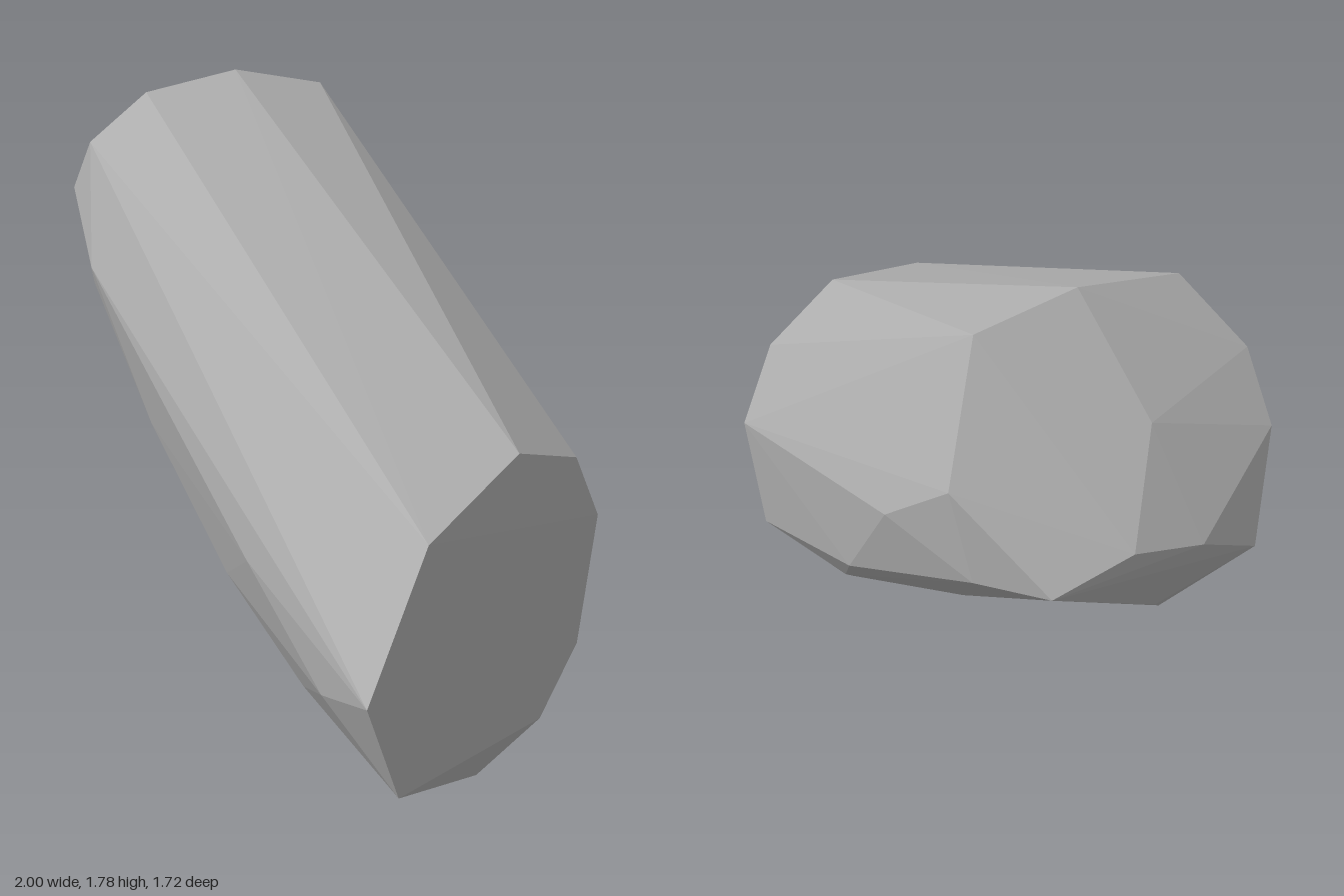
import * as THREE from 'three';
import { ConvexGeometry } from 'three/addons/geometries/ConvexGeometry.js';

// Corners around the lower, blunt end
const lowerEnd = [
  [1, 1.02, 0.25], [1, 0.9, 0.68], [0.94, 0.475, 0.86], [0.96, 0.16, 0.735],
  [0.87, 0.06, 0.56], [0.91, 0, 0.27], [0.96, 0.09, 0.01], [0.97, 0.27, -0.17],
  [0.995, 0.68, -0.21], [1, 0.91, -0.06],
];

// Corners around the raised, domed end
const upperEnd = [
  [-0.61, 1.74, -0.07], [-0.485, 1.78, -0.36], [-0.35, 1.71, -0.63],
  [-0.45, 1.375, -0.86], [-0.52, 1.11, -0.85], [-0.74, 1.12, -0.79],
  [-0.86, 1.21, -0.59], [-0.95, 1.175, -0.4], [-1, 1.09, -0.22],
  [-0.935, 1.38, -0.07], [-0.81, 1.56, -0.02], [-0.76, 1.48, -0.39],
];

// Worn facets on the front flank, the belly and the back flank
const frontFlank = [
  [-0.82, 1.085, -0.03], [-0.68, 1.2, 0.13], [-0.37, 0.77, 0.21],
  [0.08, 0.45, 0.39], [0.32, 0.63, 0.59], [0.47, 0.25, 0.52], [0.7, 0.39, 0.74],
];
const belly = [
  [-0.76, 0.83, -0.32], [-0.8, 0.9, -0.4], [-0.8, 1.01, -0.53],
  [-0.35, 0.55, -0.1], [-0.15, 0.55, 0.1], [0.2, 0.24, -0.04],
  [0.23, 0.25, 0.25], [0.49, 0.1, 0.15],
];
const backFlank = [
  [-0.12, 1.1, -0.75], [0.2, 0.67, -0.57], [0.45, 0.38, -0.33], [0.62, 0.17, -0.12],
];

export function createModel() {
  const group = new THREE.Group();
  group.name = 'facetedStone';

  const stoneGrey = new THREE.MeshStandardMaterial({ color: 0xb0b0b0 });
  stoneGrey.name = 'stone grey';
  stoneGrey.flatShading = true;

  // One convex skin stretched over all the corners
  const corners = [lowerEnd, upperEnd, frontFlank, belly, backFlank]
    .flat()
    .map((p) => new THREE.Vector3(...p));
  const stone = new THREE.Mesh(new ConvexGeometry(corners), stoneGrey);
  stone.name = 'stoneBody';
  group.add(stone);
  return group;
}
